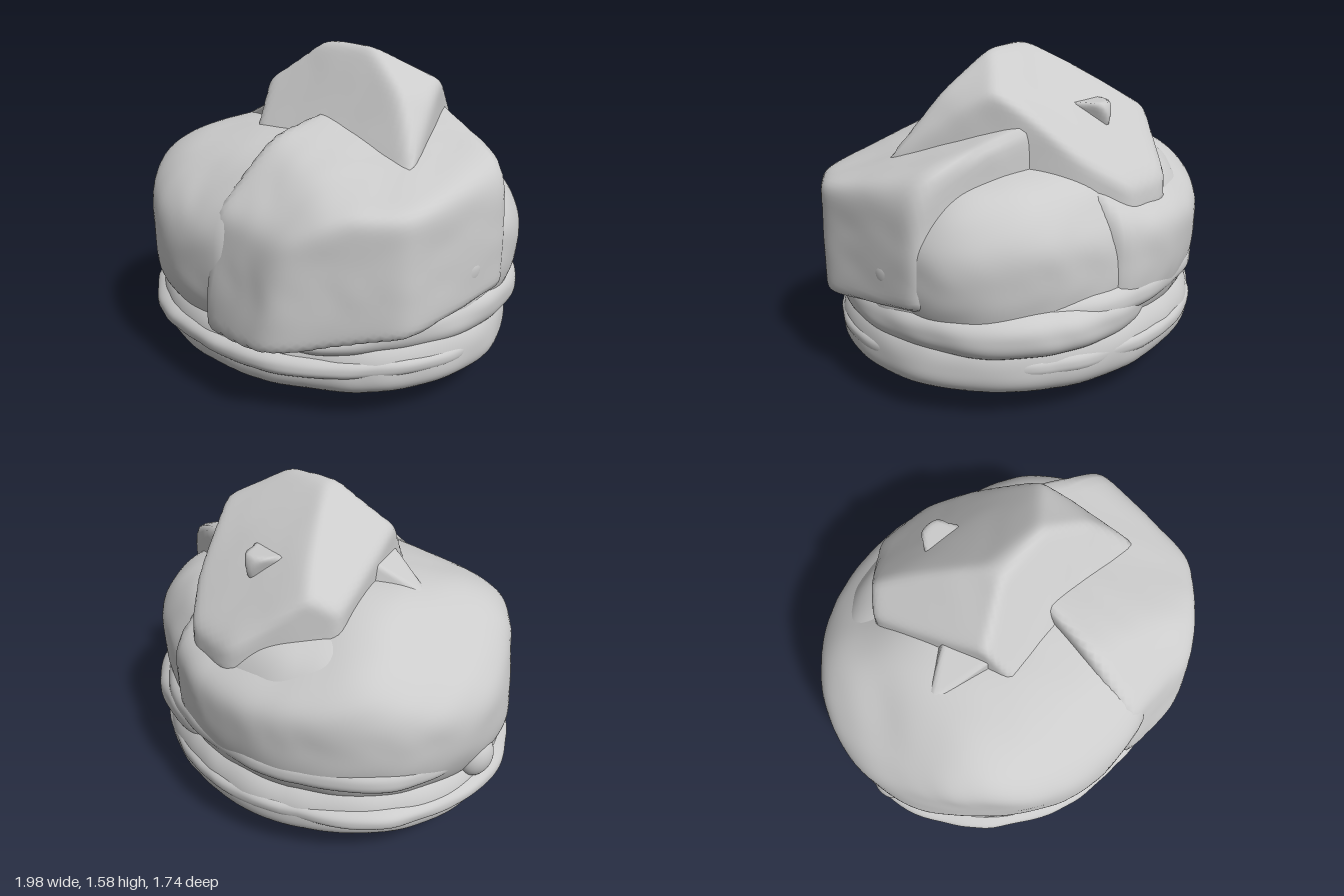
import * as THREE from 'three';
import { mergeVertices } from 'three/addons/utils/BufferGeometryUtils.js';

const material = new THREE.MeshStandardMaterial({ color: 0xcccccc });

// Smooth wavy noise, about -1..1, different for each seed
function noise(x, y, z, seed) {
  let sum = 0;
  for (let i = 0, f = 5, a = 0.6; i < 3; i++, f *= 1.9, a *= 0.55) {
    sum += a * Math.sin(f * x + 1.7 * seed + 1.3 * Math.sin(f * y + seed))
      * Math.cos(f * z + 2.3 * seed + 1.1 * Math.sin(f * 0.8 * x - i))
      + a * 0.4 * Math.sin(f * 1.6 * y + 2 * z + seed * 3.1 + i);
  }
  return sum;
}

// A boulder: a superellipsoid worn down by flat cuts with softened edges.
// Each cut is [normal x, y, z, point x, y, z].
function rock(name, center, radii, { cuts = [], q = 2, soft = 18, rough = 0.02, seed = 1, detail = 22 } = {}) {
  const c = new THREE.Vector3(...center);
  const planes = cuts.map(([a, b, d, x, y, z]) => {
    const n = new THREE.Vector3(a, b, d).normalize();
    return { n, d: n.dot(new THREE.Vector3(x, y, z).sub(c)) };
  });
  let geometry = new THREE.IcosahedronGeometry(1, detail);
  geometry.deleteAttribute('uv');
  geometry.deleteAttribute('normal');
  geometry = mergeVertices(geometry);
  const pos = geometry.attributes.position;
  const v = new THREE.Vector3();
  for (let i = 0; i < pos.count; i++) {
    v.fromBufferAttribute(pos, i);
    const round = (Math.hypot(v.x, v.z) ** q + Math.abs(v.y) ** q) ** (1 / q);
    v.set(v.x * radii[0], v.y * radii[1], v.z * radii[2]);
    let sum = round ** soft;
    for (const { n, d } of planes) sum += Math.max(0, n.dot(v) / d) ** soft;
    v.multiplyScalar(sum ** (-1 / soft));
    v.multiplyScalar(1 + rough * noise(v.x + c.x, v.y + c.y, v.z + c.z, seed));
    v.add(c);
    pos.setXYZ(i, v.x, Math.max(0, v.y), v.z);
  }
  geometry.computeVertexNormals();
  const mesh = new THREE.Mesh(geometry, material);
  mesh.name = name;
  return mesh;
}

export function createModel() {
  const group = new THREE.Group();
  group.name = 'rockPile';

  // Base tapering inward to a flat bottom
  const baseCuts = [[0, -1, 0, 0, -0.01, 0]];
  for (let i = 0; i < 14; i++) {
    const a = (i / 14) * Math.PI * 2, x = Math.cos(a), z = Math.sin(a);
    baseCuts.push([0.45 * x, -0.9, 0.5 * z, 0.83 * x + 0.04, 0.1, 0.74 * z - 0.02]);
  }
  group.add(rock('base', [0.02, 0.26, -0.01], [0.97, 0.3, 0.85], {
    q: 2.6, soft: 36, rough: 0.014, seed: 2, cuts: baseCuts }));

  // Overlapping ledges
  group.add(
    rock('frontLedge', [0, 0.275, 0], [0.985, 0.125, 0.87], { q: 2.6, rough: 0.022, seed: 5 }),
    rock('rightLedge', [0.25, 0.43, -0.02], [0.73, 0.18, 0.82], {
      q: 2.8, rough: 0.025, seed: 8, cuts: [[0.2, 0.8, 0.45, 0.75, 0.53, 0.4]] }),
    rock('backLedge', [0, 0.5, -0.1], [0.96, 0.16, 0.74], { q: 2.6, rough: 0.022, seed: 4 }),
    rock('rightBulge', [0.62, 0.65, -0.02], [0.37, 0.14, 0.26], { q: 2.6, rough: 0.05, seed: 6, detail: 14 }),
  );

  // Large boulders that form the body
  group.add(
    rock('leftBoulder', [-0.05, 0.68, 0.005], [0.93, 0.52, 0.86], {
      q: 3, seed: 3, rough: 0.014,
      cuts: [
        [1, 0, 0, 0.3, 0.6, 0.6],
        [-0.6, 0.8, 0, -0.75, 1.02, 0],
        [-0.7, 0, 0.72, -0.73, 0.7, 0.6],
        [0, 0.75, 0.65, -0.3, 1.05, 0.62],
        [0, 0.96, 0.28, -0.3, 1.17, 0.3],
        [-0.1, 0.85, -0.5, -0.3, 1.08, -0.42],
      ] }),
    rock('rightBoulder', [0.55, 0.72, 0.2], [0.85, 0.85, 0.95], {
      soft: 20, seed: 7, rough: 0.018,
      cuts: [
        [1, 0, 0, 0.985, 0.75, 0.1],
        [0.75, 0.5, 0, 0.96, 1.06, 0],
        [0.05, 0.15, 1, 0.4, 0.55, 0.83],
        [0.75, 0, 0.66, 0.82, 0.7, 0.57],
        [0.3, 0, -0.95, 0.7, 0.8, -0.34],
        [0.28, 1, 0.2, 0.55, 1.245, -0.3],
        [0.1, 0.75, 0.65, 0.4, 1.04, 0.6],
        [0.07, -1, -0.12, 0.3, 0.35, 0.8],
        [-1, 0, 0, 0.14, 0.7, 0],
      ] }),
    rock('backBoulder', [0.06, 0.66, -0.2], [0.9, 0.46, 0.61], {
      q: 2.9, seed: 9, rough: 0.022, cuts: [[0.1, 0.5, -0.86, 0, 0.95, -0.74]] }),
  );

  // Faceted peak on top
  group.add(rock('peak', [0.1, 1.15, -0.15], [1.1, 1, 1.1], {
    soft: 34, seed: 11, rough: 0.012,
    cuts: [
      [0, 1, 0, 0.1, 1.575, 0],
      [0.15, 0.5, 0.85, 0.2, 1.57, -0.02],
      [-0.62, 0.76, 0, -0.2, 1.42, -0.1],
      [-0.9, 0, 0.4, -0.37, 1.1, -0.1],
      [0, 0.82, -0.57, 0.1, 1.57, -0.07],
      [0, 0.72, -0.69, 0.1, 1.36, -0.38],
      [0.56, 0.83, 0, 0.28, 1.575, 0],
      [0.8, 0.58, 0, 0.65, 1.26, 0.1],
      [0.87, 0, -0.5, 0.62, 1.1, -0.1],
      [0.65, 0, -0.76, 0.28, 1, -0.65],
      [0, 0.1, -1, 0, 1, -0.76],
      [-0.75, 0, -0.65, -0.31, 1, -0.59],
      [0, -1, 0, 0, 0.85, 0],
    ] }));

  // Small stones wedged against the larger ones
  group.add(
    rock('leftShard', [-0.28, 1.16, 0.05], [0.4, 0.3, 0.3], {
      soft: 24, seed: 12, detail: 10,
      cuts: [
        [-0.4, 0.9, 0.2, -0.28, 1.27, 0.03],
        [-0.2, 0, 1, -0.35, 1.15, 0.16],
        [-0.65, 0.3, -0.75, -0.42, 1.15, 0],
        [-1, 0, 0, -0.56, 1.1, 0.1],
        [1, 0, 0, -0.14, 1.1, 0.1],
        [0, -1, 0, 0, 1.02, 0],
      ] }),
    rock('backShard', [0, 1.26, -0.41], [0.14, 0.12, 0.12], {
      soft: 24, seed: 13, detail: 8,
      cuts: [
        [0, 1, 0, 0, 1.33, 0],
        [0.85, -0.3, -0.45, 0.05, 1.27, -0.46],
        [-0.85, -0.3, -0.45, -0.07, 1.27, -0.46],
      ] }),
    rock('sidePebble', [-0.9, 0.42, 0.12], [0.08, 0.11, 0.1], { seed: 14, detail: 8, rough: 0.04 }),
  );
  return group;
}
